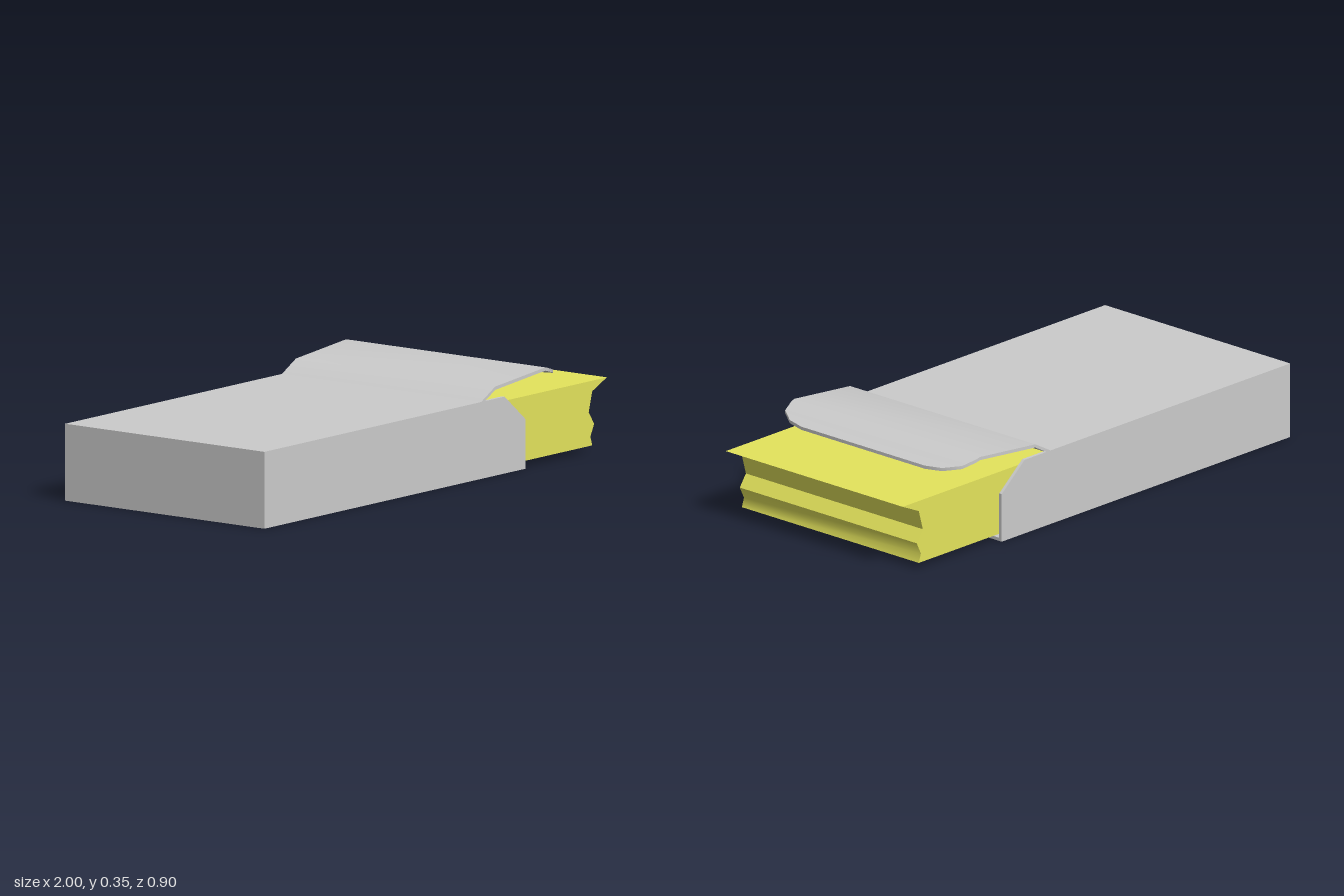
import * as THREE from 'three';
import { toCreasedNormals } from 'three/addons/utils/BufferGeometryUtils.js';

const H = 0.278, W = 0.45, T = 0.012, BACK = -1, FRONT = 0.505, HINGE = 0.25;

const cardboard = new THREE.MeshStandardMaterial({ color: 0xcccccc });
const yellow = new THREE.MeshStandardMaterial({ color: 0xe4e45c });

function add(group, name, geometry, material = cardboard) {
  const mesh = new THREE.Mesh(geometry, material);
  mesh.name = name;
  group.add(mesh);
  return mesh;
}

// Side-on profile (x, y) extruded across z, from z0 to z0 + depth
function slab(points, z0, depth) {
  const shape = new THREE.Shape(points.map(([x, y]) => new THREE.Vector2(x, y)));
  const g = new THREE.ExtrudeGeometry(shape, { depth, bevelEnabled: false });
  return g.translate(0, 0, z0);
}

// Rectangular panel spanning the gap between the side walls
function panel(x0, x1, y0, y1) {
  return slab([[x0, y0], [x1, y0], [x1, y1], [x0, y1]], -W + T, 2 * (W - T));
}

// Bent lid: loft of thin rectangular sections [x, top y, half width]
function flapGeometry() {
  const stations = [
    [HINGE, H, W], [0.33, 0.322, W], [0.62, 0.35, W], [0.635, 0.346, W],
    [0.69, 0.33, 0.43], [0.73, 0.318, 0.37], [0.745, 0.314, 0.3],
  ];
  const pos = [], idx = [];
  stations.forEach(([x, y, w], i) => {
    pos.push(x, y, -w, x, y, w, x, y - T, w, x, y - T, -w);
    if (i === stations.length - 1) return;
    for (let k = 0; k < 4; k++) {
      const a = i * 4 + k, b = i * 4 + (k + 1) % 4;
      idx.push(a, b, b + 4, a, b + 4, a + 4);
    }
  });
  const e = (stations.length - 1) * 4;
  idx.push(0, 2, 1, 0, 3, 2, e, e + 1, e + 2, e, e + 2, e + 3);
  const g = new THREE.BufferGeometry();
  g.setAttribute('position', new THREE.Float32BufferAttribute(pos, 3));
  g.setIndex(idx);
  return toCreasedNormals(g, 0.7);
}

export function createModel() {
  const model = new THREE.Group();
  model.name = 'openCarton';

  // Carton sleeve: open at the +x end
  const carton = new THREE.Group();
  carton.name = 'carton';
  model.add(carton);
  const wall = [[BACK, 0], [FRONT, 0], [FRONT, 0.18], [0.385, H], [BACK, H]];
  add(carton, 'leftWall', slab(wall, W - T, T));
  add(carton, 'rightWall', slab(wall, -W, T));
  add(carton, 'bottomPanel', panel(BACK, FRONT, 0, T));
  add(carton, 'topPanel', panel(BACK, HINGE, H - T, H));
  add(carton, 'endPanel', panel(BACK, BACK + T, T, H - T));

  // Raised lid
  add(carton, 'flap', flapGeometry());

  // Inner block with a notched end
  const profile = [
    [-0.98, 0.023], [0.916, 0.023], [0.905, 0.056], [0.927, 0.1],
    [0.895, 0.145], [0.916, 0.219], [1, 0.257], [-0.98, 0.257],
  ];
  add(model, 'innerBlock', toCreasedNormals(slab(profile, -0.43, 0.86), 0.83), yellow);

  return model;
}
